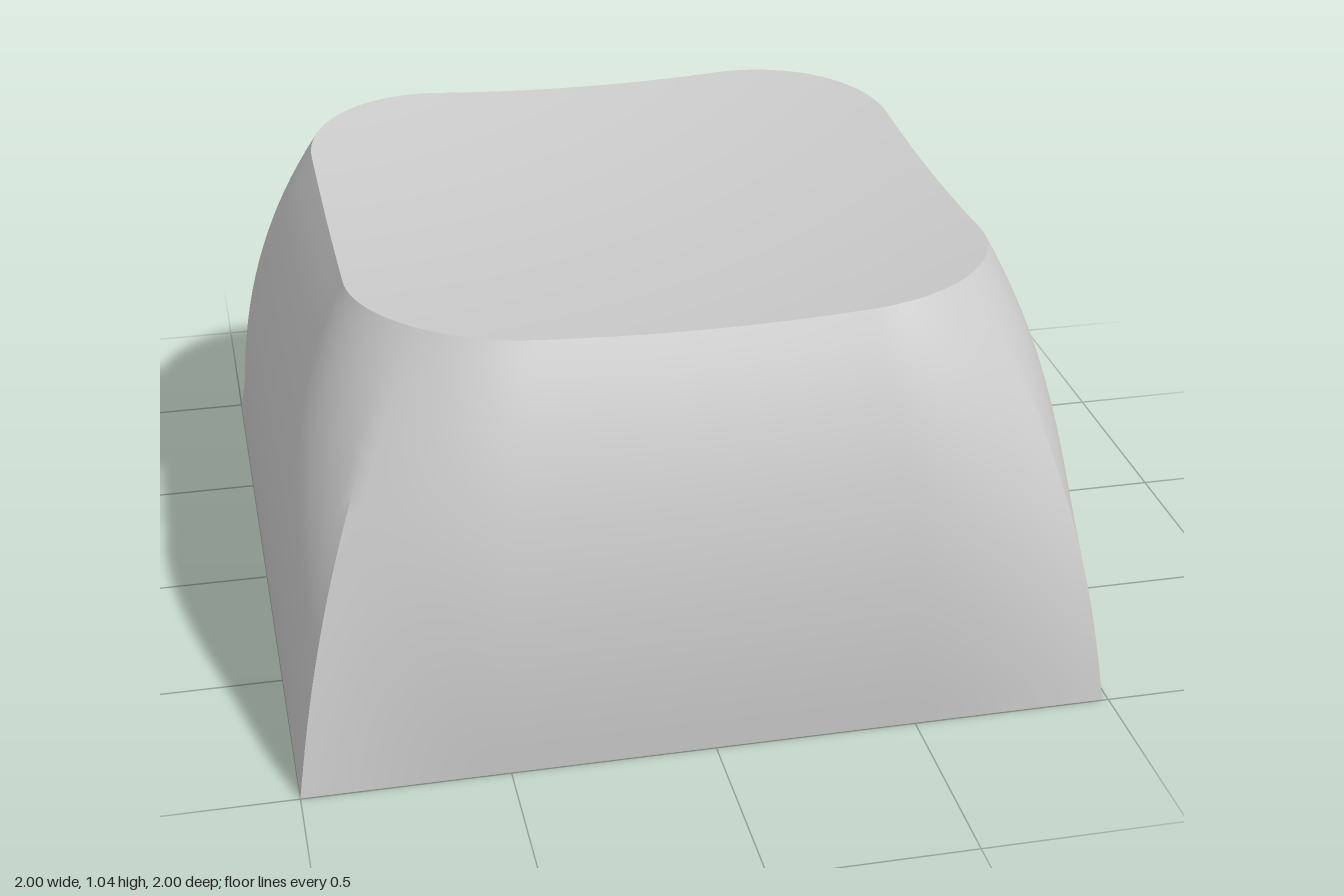
import * as THREE from 'three';
import { toCreasedNormals } from 'three/addons/utils/BufferGeometryUtils.js';

const SIDES = 256;
const TOP_HALF = 0.795;
const TOP_CORNER = 0.5; // corner radius of the top outline, relative to its half width
const OPENING = { half: 0.82, corner: 0.1, depth: 0.16 };
const CEILING = 0.858;

// Distance from centre to a unit rounded square along a given angle
function roundedSquare(angle, q) {
  const p = Math.abs(Math.cos(angle)), r = Math.abs(Math.sin(angle));
  const c = Math.max(p, r), s = Math.min(p, r), k = 1 - q;
  if (s / c <= k) return 1 / c;
  const b = k * (c + s);
  return b + Math.sqrt(Math.max(0, b * b - 2 * k * k + q * q));
}

const dishHeight = (r) => 0.963 + 0.083 * r * r;

// A ring of points: radius and height may vary with the angle
function ring(radius, height, x = 0, z = 0) {
  return Array.from({ length: SIDES }, (_, i) => {
    const a = (i / SIDES) * Math.PI * 2, r = radius(a);
    return [x + r * Math.cos(a), height(a, r), z + r * Math.sin(a)];
  });
}

// Skin a sequence of rings
function loft(name, rings) {
  const index = [];
  for (let j = 0; j < rings.length - 1; j++) {
    for (let i = 0; i < SIDES; i++) {
      const n = (i + 1) % SIDES;
      const a = j * SIDES + i, b = j * SIDES + n;
      index.push(a, a + SIDES, b, b, a + SIDES, b + SIDES);
    }
  }
  const geometry = new THREE.BufferGeometry();
  geometry.setAttribute('position', new THREE.Float32BufferAttribute(rings.flat(2), 3));
  geometry.setIndex(index);
  const mesh = new THREE.Mesh(
    toCreasedNormals(geometry, 0.5),
    new THREE.MeshStandardMaterial({ color: 0xcccccc })
  );
  mesh.name = name;
  return mesh;
}

// Bulging wall profile: half width at u (0 = base, 1 = top)
const wallHalf = (u) => 0.9925 + 0.06 * u - 0.2575 * Math.pow(u, 2.5);

// Wall outline at u: a sharp square melting into a rounded square
function wallRadius(u, scale) {
  const blend = 1 - Math.pow(1 - u, 1.35);
  return (a) => scale * wallHalf(u) * THREE.MathUtils.lerp(
    roundedSquare(a, 0), roundedSquare(a, TOP_CORNER), blend);
}

function outerRing(u) {
  const height = (a) => u * dishHeight(TOP_HALF * roundedSquare(a, TOP_CORNER));
  return ring(wallRadius(u, 1), height, -0.0075 + 0.0195 * u, 0.0045 - 0.0245 * u);
}

// Cavity section, a scaled copy of the outer wall
function cavityRing(u) {
  const y = THREE.MathUtils.lerp(OPENING.depth, CEILING, u);
  return ring(wallRadius(u, OPENING.half / wallHalf(0)), () => y);
}

const openingRing = (y) =>
  ring((a) => OPENING.half * roundedSquare(a, OPENING.corner), () => y);
const circleRing = (r, y) => ring(() => r, () => y);

export function createModel() {
  const group = new THREE.Group();
  group.name = 'keycap';

  // Curved outer walls
  const steps = 24;
  const walls = Array.from({ length: steps + 1 }, (_, i) => outerRing(i / steps));
  group.add(loft('outerWalls', walls));

  // Dished top surface
  const dish = [];
  for (let i = 0; i <= 12; i++) {
    const k = 1 - i / 12;
    dish.push(ring((a) => k * TOP_HALF * roundedSquare(a, TOP_CORNER),
      (a, r) => dishHeight(r), 0.012, -0.02));
  }
  group.add(loft('dishedTop', dish));

  // Flat rim and the straight-sided opening above it
  group.add(loft('bottomRim', [openingRing(0), outerRing(0)]));
  group.add(loft('openingWalls', [cavityRing(0), openingRing(OPENING.depth), openingRing(0)]));

  // Bulging cavity walls, from the ceiling down
  const cavity = Array.from({ length: steps + 1 }, (_, i) => cavityRing(1 - i / steps));
  group.add(loft('cavityWalls', cavity));

  // Ceiling with a shallow round recess
  group.add(loft('cavityCeiling', [
    circleRing(0, 0.91), circleRing(0.43, 0.91), circleRing(0.43, CEILING), cavityRing(1)
  ]));

  return group;
}
